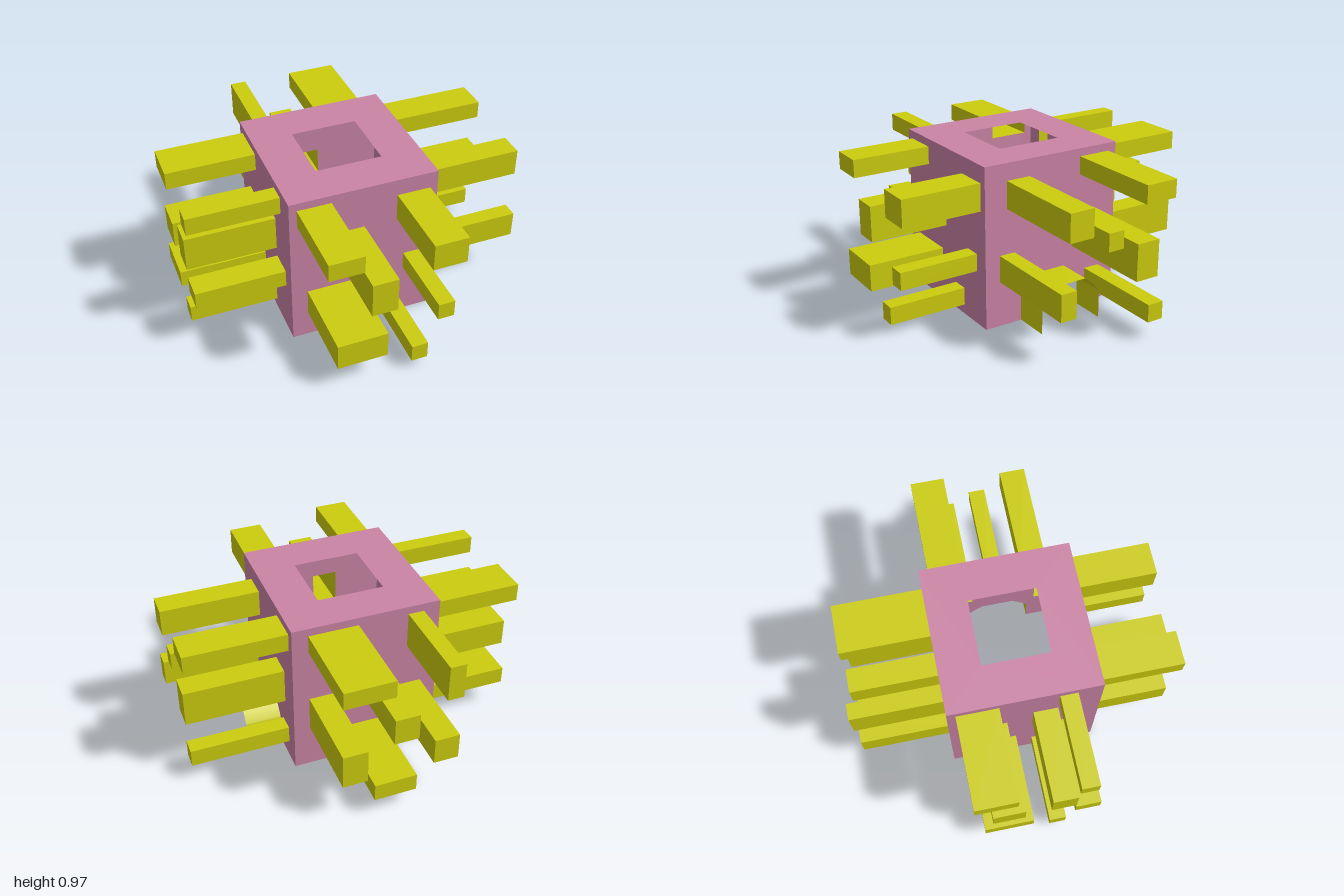
import * as THREE from 'three';

const pink = new THREE.MeshStandardMaterial({ color: 0xcb84a5, side: THREE.DoubleSide });
pink.name = 'pink';
const yellow = new THREE.MeshStandardMaterial({ color: 0xcccc0e, side: THREE.DoubleSide });
yellow.name = 'yellow';

const X0 = -0.47, X1 = 0.41, Z0 = -0.42, Z1 = 0.465, H = 0.97;

function mesh(name, geometry, material) {
  const m = new THREE.Mesh(geometry, material);
  m.name = name;
  return m;
}

function rectPath(u0, u1, v0, v1) {
  return new THREE.Path([[u0, v0], [u0, v1], [u1, v1], [u1, v0]].map(p => new THREE.Vector2(...p)));
}

// Rectangular duct, open towards the wall and capped at its outer end
function duct([u0, u1, v0, v1], depth) {
  const g = new THREE.BoxGeometry(u1 - u0, v1 - v0, depth);
  g.setIndex(Array.from(g.index.array).slice(0, 30));
  g.clearGroups();
  g.translate((u0 + u1) / 2, (v0 + v1) / 2, depth / 2);
  return mesh('duct', g, yellow);
}

// Outline of the doorway, from one foot over the top to the other
function archPoints() {
  const c = -0.0325, w = 0.1975;
  const half = new THREE.QuadraticBezierCurve(
    new THREE.Vector2(w, 0.165), new THREE.Vector2(0.155, 0.232), new THREE.Vector2(0.097, 0.272)).getPoints(8);
  const right = [new THREE.Vector2(w, 0), ...half];
  const left = right.map(p => new THREE.Vector2(-p.x, p.y)).reverse();
  return [...left.reverse(), ...right.reverse()].map(p => new THREE.Vector2(p.x + c, p.y));
}

// One thin wall in local u, v with openings and the ducts behind them
function side(name, u0, u1, depth, rects, arch) {
  const group = new THREE.Group();
  group.name = name;
  const outline = [new THREE.Vector2(u0, 0), ...(arch || []),
    new THREE.Vector2(u1, 0), new THREE.Vector2(u1, H), new THREE.Vector2(u0, H)];
  const shape = new THREE.Shape(outline);
  for (const r of rects) {
    shape.holes.push(rectPath(...r));
    group.add(duct(r, depth));
  }
  group.add(mesh('wall', new THREE.ShapeGeometry(shape), pink));
  return group;
}

export function createModel() {
  const model = new THREE.Group();
  model.name = 'ductedBox';

  // Front
  const front = side('frontSide', X0, X1, 0.475, [
    [-0.425, -0.225, 0.815, 0.922], [0.165, 0.365, 0.705, 0.868],
    [-0.18, -0.03, 0.492, 0.705], [0.217, 0.315, 0.33, 0.435],
    [-0.375, -0.08, 0.167, 0.33], [0.07, 0.167, 0.06, 0.167],
  ]);
  front.position.z = Z1;

  // Side towards +x, with the doorway (u runs along -z)
  const arch = archPoints();
  const left = side('leftSide', -Z1, -Z0, 0.59, [
    [-0.325, -0.175, 0.705, 0.868], [0.168, 0.367, 0.815, 0.922],
    [-0.075, 0.022, 0.6, 0.705], [0.122, 0.267, 0.382, 0.6],
    [-0.372, -0.275, 0.275, 0.435], [0.217, 0.317, 0.112, 0.218],
  ], arch);
  left.rotation.y = Math.PI / 2;
  left.position.x = X1;

  // Arched entrance tunnel, open at both ends
  const tunnel = new THREE.PlaneGeometry(1, 1, arch.length - 1, 1);
  const pos = tunnel.attributes.position;
  for (let i = 0; i < pos.count; i++) {
    const p = arch[i % arch.length];
    pos.setXYZ(i, p.x, p.y, i < arch.length ? 0 : 0.215);
  }
  tunnel.computeVertexNormals();
  // Wind faces so that they look outwards
  if (tunnel.attributes.normal.getX(0) > 0) {
    const ix = tunnel.index;
    for (let i = 0; i < ix.count; i += 3) {
      const a = ix.getX(i);
      ix.setX(i, ix.getX(i + 1));
      ix.setX(i + 1, a);
    }
    tunnel.computeVertexNormals();
  }
  left.add(mesh('archTunnel', tunnel, yellow));

  // Back (u runs along -x)
  const back = side('backSide', -X1, -X0, 0.525, [
    [-0.315, -0.02, 0.815, 0.922], [0.278, 0.373, 0.705, 0.922],
    [-0.02, 0.125, 0.49, 0.652], [-0.315, -0.17, 0.275, 0.486],
    [0.225, 0.373, 0.275, 0.435], [-0.125, 0.125, 0.112, 0.218],
  ]);
  back.rotation.y = Math.PI;
  back.position.z = Z0;

  // Side towards -x (u runs along z)
  const right = side('rightSide', Z0, Z1, 0.53, [
    [-0.37, -0.125, 0.815, 0.922], [0.217, 0.32, 0.815, 0.922],
    [0.072, 0.217, 0.492, 0.705], [0.22, 0.37, 0.33, 0.435],
    [-0.27, -0.08, 0.435, 0.6], [-0.32, -0.025, 0.167, 0.272],
    [0.075, 0.175, 0.06, 0.165],
  ]);
  right.rotation.y = -Math.PI / 2;
  right.position.x = X0;

  // Roof with a square opening; the box has no floor
  const roofShape = new THREE.Shape(rectPath(X0, X1, -Z1, -Z0).getPoints());
  roofShape.holes.push(rectPath(-0.225, 0.17, -0.22, 0.178));
  const roof = mesh('roof', new THREE.ShapeGeometry(roofShape), pink);
  roof.rotation.x = -Math.PI / 2;
  roof.position.y = H;

  model.add(front, left, back, right, roof);
  return model;
}
